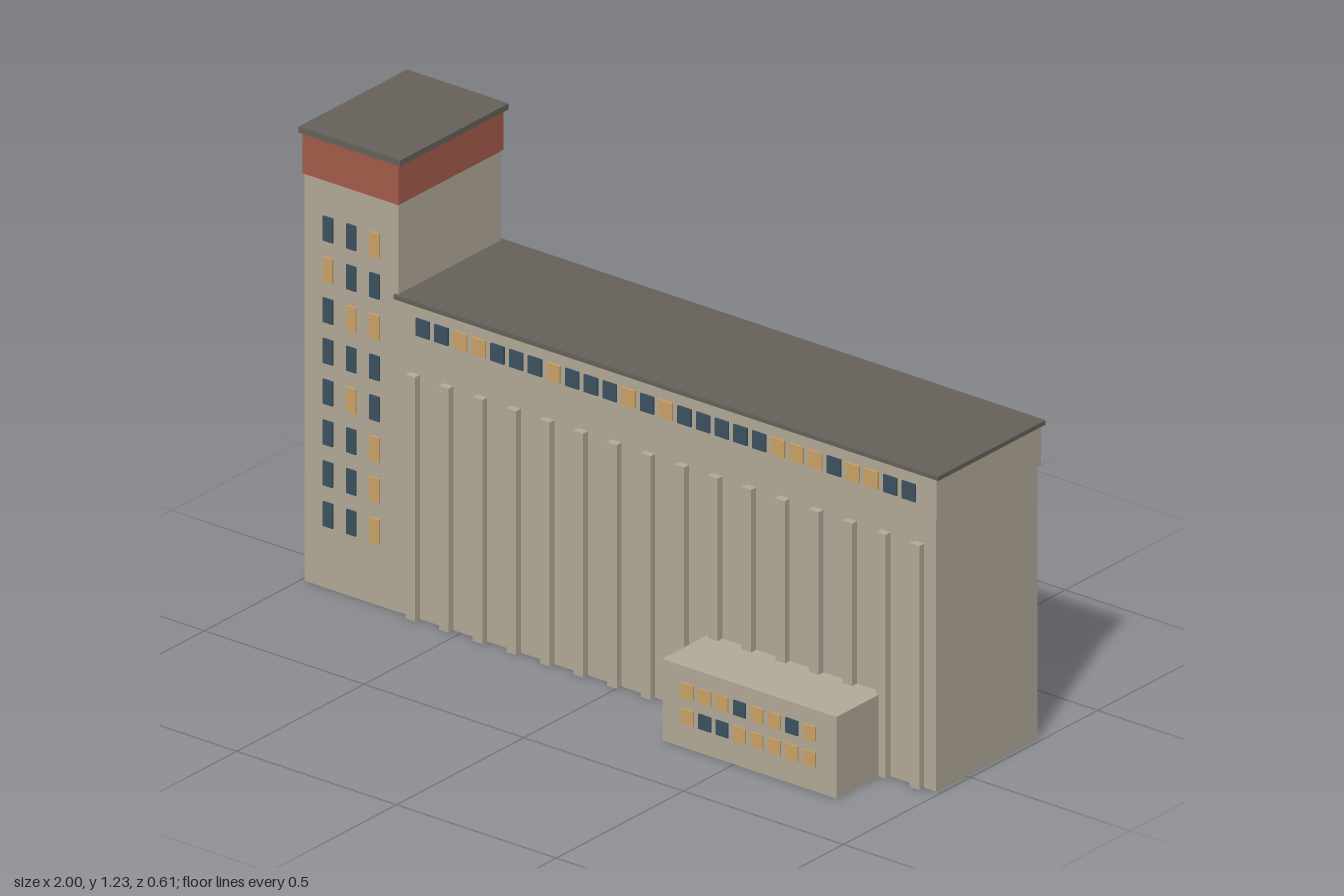
import * as THREE from 'three';

const material = (name, color) => {
  const m = new THREE.MeshStandardMaterial({ color });
  m.name = name;
  return m;
};

export function createModel() {
  const model = new THREE.Group();
  model.name = 'building';
  const wall = material('stone wall', 0xb5ac9a);
  const roof = material('dark roof', 0x67625b);
  const brick = material('red brick', 0xa65d4a);
  const dark = material('dark glass', 0x3d5260);
  const lit = material('lit glass', 0xcda568);

  // Box given by its min and max on each axis
  const block = (name, mat, [x0, x1], [y0, y1], [z0, z1], parent = model) => {
    const mesh = new THREE.Mesh(new THREE.BoxGeometry(x1 - x0, y1 - y0, z1 - z0), mat);
    mesh.position.set((x0 + x1) / 2, (y0 + y1) / 2, (z0 + z1) / 2);
    mesh.name = name;
    parent.add(mesh);
  };
  const group = (name) => {
    const g = new THREE.Group();
    g.name = name;
    model.add(g);
    return g;
  };

  // Main hall with a slightly wider top storey and roof slab
  block('mainHall', wall, [-0.7, 0.985], [0, 0.74], [-0.283, 0.117]);
  block('topStorey', wall, [-0.7, 0.99], [0.733, 0.846], [-0.289, 0.122]);
  block('mainRoof', roof, [-0.705, 1], [0.845, 0.857], [-0.295, 0.127]);

  // Tower with brick band and cap
  block('tower', wall, [-0.99, -0.697], [0, 1.1], [-0.285, 0.118]);
  block('towerBrickBand', brick, [-0.993, -0.693], [1.1, 1.21], [-0.29, 0.123]);
  block('towerRoof', roof, [-1, -0.682], [1.21, 1.226], [-0.297, 0.13]);

  // Front annex
  block('annex', wall, [0.275, 0.82], [0, 0.22], [0.11, 0.301]);

  // Pilasters on both long sides
  const pilasters = group('pilasters');
  for (let i = 0; i < 16; i++) {
    const x = -0.645 + i * 0.1052;
    block('frontPilaster', wall, [x - 0.015, x + 0.015], [0, 0.658], [0.11, 0.136], pilasters);
    block('backPilaster', wall, [x - 0.015, x + 0.015], [0, 0.658], [-0.302, -0.276], pilasters);
  }

  // Window rows: D is a dark pane, L a lit one; place() gives the pane's extents
  const windows = (name, rows, place) => {
    const g = group(name);
    rows.forEach((row, r) => [...row].forEach((c, i) =>
      block(c === 'L' ? 'litWindow' : 'darkWindow', c === 'L' ? lit : dark, ...place(i, r), g)));
  };
  const span = (centre, size) => [centre - size / 2, centre + size / 2];

  windows('topStoreyFrontWindows', ['DDLLDDDLDDDLDLDDDDDLLLDLLDD'],
    (i) => [span(-0.615 + i * 0.0585, 0.042), span(0.79, 0.047), [0.12, 0.127]]);
  windows('topStoreyBackWindows', ['DLLDDDDDDLDDDDDLDLDDLLDDLDL'],
    (i) => [span(0.907 - i * 0.0585, 0.042), span(0.79, 0.047), [-0.294, -0.287]]);

  const towerRow = (r) => span(0.97 - r * 0.11, 0.066);
  windows('towerFrontWindows', ['DDL', 'LDD', 'DLL', 'DDD', 'DLD', 'DDL', 'DDL', 'DDL'],
    (i, r) => [span(-0.915 + i * 0.073, 0.03), towerRow(r), [0.116, 0.123]]);
  windows('towerSideWindows',
    ['LDDD', 'DDDD', 'LDLD', 'DDDD', 'DDLL', 'DDDD', 'DDDD', 'LDDD'],
    (i, r) => [[-0.995, -0.988], towerRow(r), span(-0.187 + i * 0.068, 0.03)]);

  windows('annexWindows', ['LLLDLLDL', 'LDDLLLLL'],
    (i, r) => [span(0.355 + i * 0.0545, 0.038), span(0.155 - r * 0.069, 0.04), [0.299, 0.305]]);

  return model;
}
